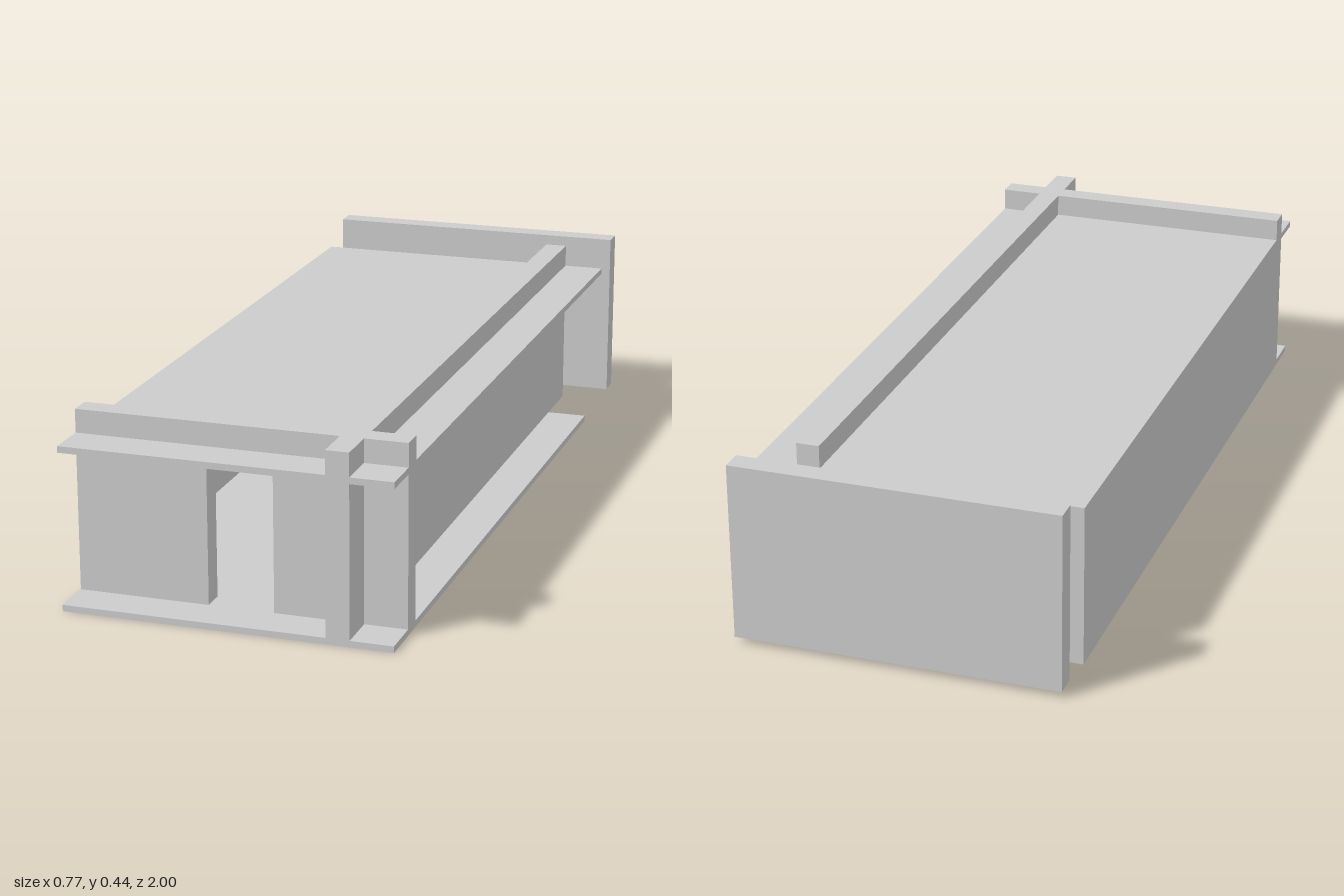
import * as THREE from 'three';

const U = 1 / 13;            // plan module
const HALF = 5 * U;          // half width
const BACK = -11 * U;        // rear edge of floor, roof and walls
const SLAB = 0.015;          // floor and roof thickness
const ROOF = 0.37;           // underside of the roof
const TOP = 0.44;            // top of the parapet walls
const WALL = 0.054;          // wall thickness

export function createModel() {
  const model = new THREE.Group();
  model.name = 'house';
  const material = new THREE.MeshStandardMaterial({ color: 0xcccccc, flatShading: true });

  // Box given by its limits on each axis
  const block = (name, [x0, x1], [y0, y1], [z0, z1]) => {
    const mesh = new THREE.Mesh(new THREE.BoxGeometry(x1 - x0, y1 - y0, z1 - z0), material);
    mesh.position.set((x0 + x1) / 2, (y0 + y1) / 2, (z0 + z1) / 2);
    mesh.name = name;
    model.add(mesh);
  };

  // Floor plate: notched rear corner, stair opening and small shaft
  const plan = points => points.map(([x, z]) => new THREE.Vector2(x, -z));
  const floorShape = new THREE.Shape(plan([
    [-HALF, 1], [HALF, 1], [HALF, -9 * U], [3 * U, -9 * U], [3 * U, BACK], [-HALF, BACK],
  ]));
  const addOpening = (x0, x1, z0, z1) =>
    floorShape.holes.push(new THREE.Path(plan([[x0, z0], [x1, z0], [x1, z1], [x0, z1]])));
  addOpening(U, 3 * U, 3 * U, 11 * U);
  addOpening(-3 * U, -U, -7 * U, -5 * U);
  const floorGeometry = new THREE.ExtrudeGeometry(floorShape, { depth: SLAB, bevelEnabled: false });
  floorGeometry.rotateX(-Math.PI / 2);
  const floor = new THREE.Mesh(floorGeometry, material);
  floor.name = 'floor';
  model.add(floor);

  // Roof plate with front and side overhangs
  block('roof', [-HALF, HALF], [ROOF, ROOF + SLAB], [BACK, 1]);

  // Front wall: two piers beside the doorway and a parapet above the roof
  const front = [11 * U, 11 * U + WALL];
  block('frontWallLeftOfDoor', [-HALF, -U], [SLAB, ROOF], front);
  block('frontWallRightOfDoor', [U, HALF], [SLAB, ROOF], front);
  block('frontParapet', [-HALF, HALF], [ROOF + SLAB, TOP], front);

  // Long side wall crossing the front wall, and the lower flush wall opposite
  block('longSideWall', [3 * U, 3 * U + WALL], [SLAB, TOP], [BACK, 1]);
  block('flushSideWall', [-HALF, -HALF + WALL], [SLAB, ROOF], [BACK, 11 * U]);

  // Free-standing rear wall
  block('rearWall', [-HALF, HALF], [SLAB, TOP], [-1, -1 + WALL]);

  return model;
}
